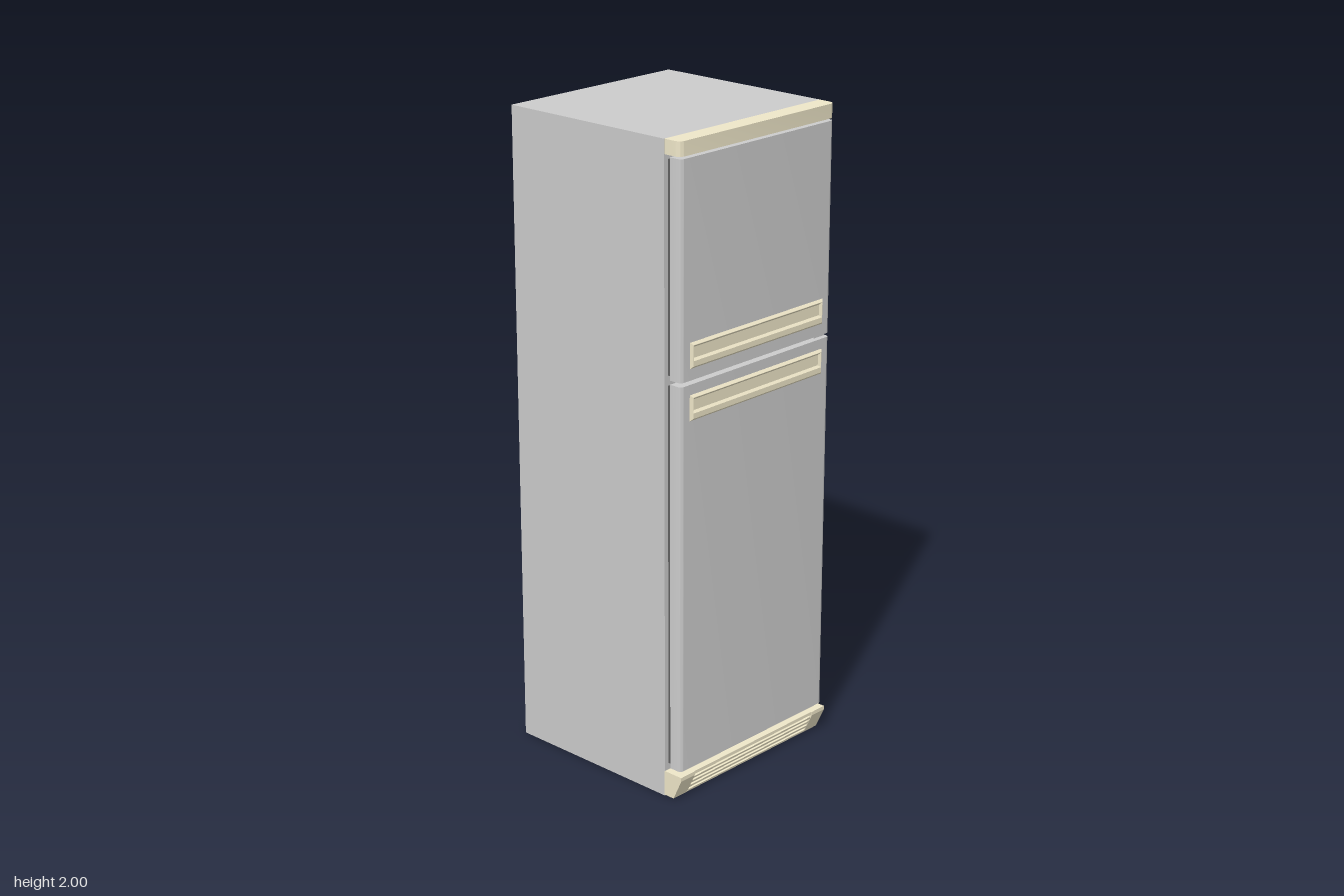
import * as THREE from 'three';
import { toCreasedNormals } from 'three/addons/utils/BufferGeometryUtils.js';

const grey = new THREE.MeshStandardMaterial({ color: 0xcccccc });
const cream = new THREE.MeshStandardMaterial({ color: 0xeee6c8 });
const dark = new THREE.MeshStandardMaterial({ color: 0x606060 });

function add(parent, name, geometry, material, x = 0, y = 0, z = 0) {
  const mesh = new THREE.Mesh(geometry, material);
  mesh.name = name;
  mesh.position.set(x, y, z);
  parent.add(mesh);
  return mesh;
}

// Box given by its lower and upper limits on each axis
function block(parent, name, material, [x0, x1], [y0, y1], [z0, z1]) {
  return add(parent, name, new THREE.BoxGeometry(x1 - x0, y1 - y0, z1 - z0), material,
    (x0 + x1) / 2, (y0 + y1) / 2, (z0 + z1) / 2);
}

// Upright slab whose two front vertical edges are rounded
function slab(parent, name, material, halfWidth, [y0, y1], [z0, z1], r) {
  const s = new THREE.Shape();
  s.moveTo(-halfWidth, -z0);
  s.lineTo(-halfWidth, -z1 + r);
  s.absarc(-halfWidth + r, -z1 + r, r, Math.PI, 1.5 * Math.PI, false);
  s.absarc(halfWidth - r, -z1 + r, r, 1.5 * Math.PI, 2 * Math.PI, false);
  s.lineTo(halfWidth, -z0);
  s.closePath();
  const g = new THREE.ExtrudeGeometry(s, { depth: y1 - y0, bevelEnabled: false, curveSegments: 6 });
  g.rotateX(-Math.PI / 2);
  return add(parent, name, toCreasedNormals(g, 0.6), material, 0, y0, 0);
}

// Side profile in (z, y) extruded across x
function across(parent, name, material, points, x0, x1) {
  const s = new THREE.Shape(points.map(([z, y]) => new THREE.Vector2(-z, y)));
  const g = new THREE.ExtrudeGeometry(s, { depth: x1 - x0, bevelEnabled: false });
  g.rotateY(Math.PI / 2);
  return add(parent, name, g, material, x0, 0, 0);
}

function rectangle(Type, x0, x1, y0, y1) {
  return new Type([[x0, y0], [x1, y0], [x1, y1], [x0, y1]].map(([x, y]) => new THREE.Vector2(x, y)));
}

// Long pull with a bevelled frame around a finger recess
function makeHandle(bottom, top) {
  const handle = new THREE.Group();
  const bevel = 0.007;
  const frame = rectangle(THREE.Shape, -0.285 + bevel, 0.285 - bevel, bottom + bevel, top - bevel);
  frame.holes.push(rectangle(THREE.Path, -0.27 - bevel, 0.27 + bevel, bottom + 0.03 - bevel, top - 0.015 + bevel));
  const g = new THREE.ExtrudeGeometry(frame, {
    depth: 0.003, bevelEnabled: true, bevelSegments: 1, bevelSize: bevel, bevelThickness: bevel,
  });
  add(handle, 'handleFrame', g, cream, 0, 0, 0.323);
  block(handle, 'handleRecess', cream, [-0.272, 0.272], [bottom + 0.028, top - 0.013], [0.32, 0.3262]);
  return handle;
}

export function createModel() {
  const model = new THREE.Group();
  model.name = 'refrigerator';

  block(model, 'cabinet', grey, [-0.327, 0.327], [0, 2], [-0.333, 0.267]);
  slab(model, 'topTrim', cream, 0.326, [1.957, 2], [0.266, 0.325], 0.02);

  // Doors with their seals and handles
  const doors = [
    { name: 'freezerDoor', y: [1.31, 1.95], handle: [1.345, 1.422] },
    { name: 'mainDoor', y: [0.095, 1.298], handle: [1.19, 1.267] },
  ];
  for (const { name, y, handle } of doors) {
    const door = new THREE.Group();
    door.name = name;
    slab(door, 'doorPanel', grey, 0.321, y, [0.283, 0.325], 0.012);
    block(door, 'doorSeal', dark, [-0.312, 0.312], [y[0] + 0.009, y[1] - 0.009], [0.265, 0.284]);
    const pull = makeHandle(...handle);
    pull.name = 'handle';
    door.add(pull);
    model.add(door);
  }

  // Hinge plate between the doors
  block(model, 'middleHinge', grey, [0.27, 0.315], [1.299, 1.309], [0.266, 0.31]);

  // Sloping kick plate: end caps, top rail and louvres over a dark backing
  const kick = new THREE.Group();
  kick.name = 'kickPlate';
  const cap = [[0.265, 0.003], [0.302, 0.003], [0.333, 0.07], [0.333, 0.082], [0.265, 0.082]];
  across(kick, 'leftCap', cream, cap, 0.268, 0.327);
  across(kick, 'rightCap', cream, cap, -0.327, -0.268);
  across(kick, 'topRail', cream, [[0.265, 0.072], [0.331, 0.072], [0.331, 0.082], [0.265, 0.082]], -0.268, 0.268);
  across(kick, 'grilleBacking', dark, [[0.265, 0.004], [0.285, 0.004], [0.305, 0.073], [0.265, 0.073]], -0.268, 0.268);
  for (let i = 0; i < 4; i++) {
    const y = 0.005 + i * 0.017;
    const z = 0.302 + y * 0.42;
    across(kick, 'louvre', cream, [[z - 0.03, y + 0.004], [z, y], [z + 0.002, y + 0.007], [z - 0.03, y + 0.009]], -0.268, 0.268);
  }
  model.add(kick);

  return model;
}
